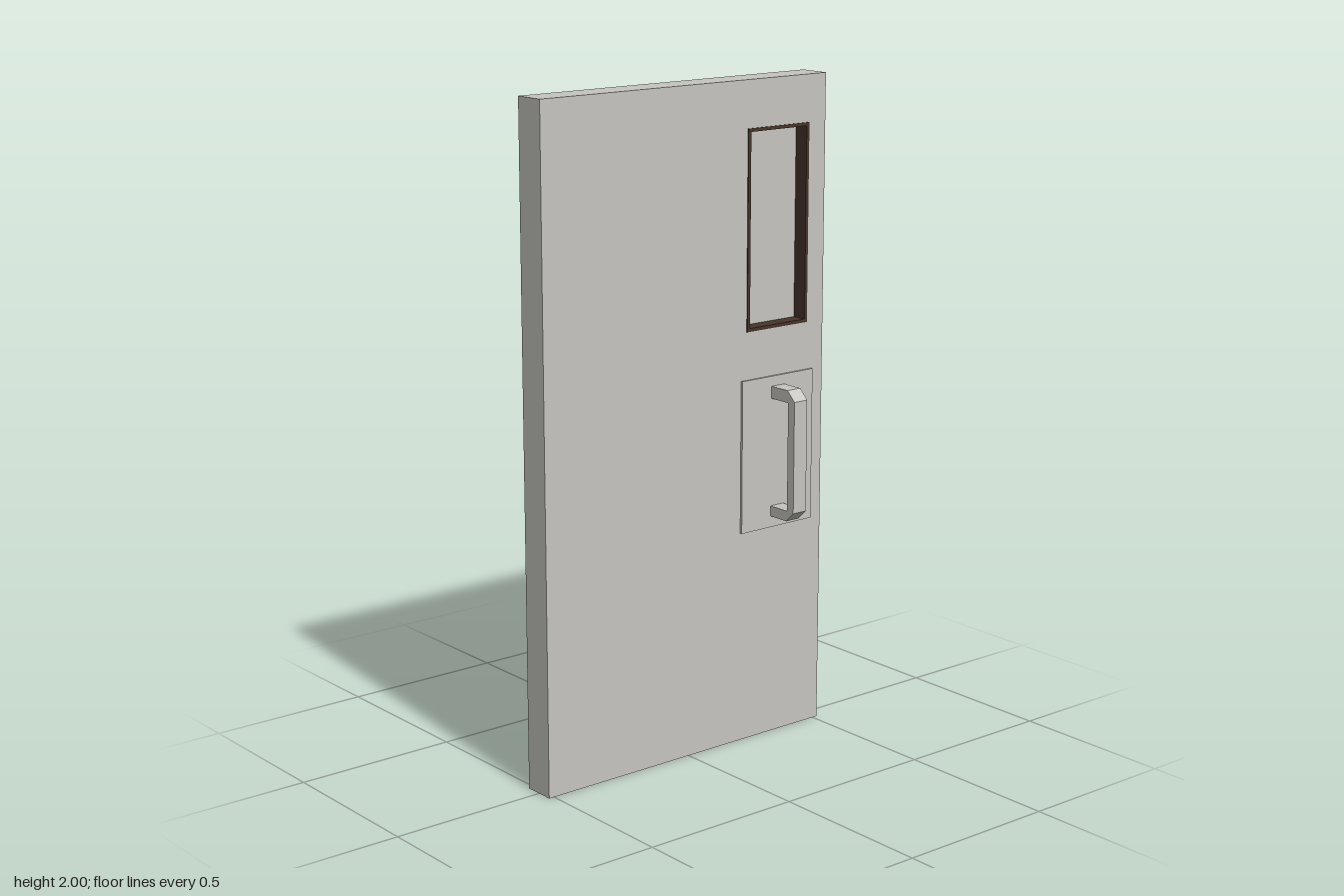
import * as THREE from 'three';

const grey = new THREE.MeshStandardMaterial({ name: 'door grey', color: 0xc6c5c0 });
const brown = new THREE.MeshStandardMaterial({ name: 'dark brown trim', color: 0x46342a });

// Door leaf and window opening; s runs along -z
const DOOR = { s0: -0.517, s1: 0.517, y0: 0, y1: 2, half: 0.049 };
const WIN = { s0: 0.218, s1: 0.452, y0: 1.265, y1: 1.86, half: 0.052 };

function corners(r, inset = 0) {
  const a = r.s0 + inset, b = r.s1 - inset, c = r.y0 + inset, d = r.y1 - inset;
  return [[a, c], [b, c], [b, d], [a, d]].map(p => new THREE.Vector2(...p));
}

// Slab across the door thickness with a rectangular hole
function slab(outer, hole, half) {
  const shape = new THREE.Shape(outer);
  shape.holes.push(new THREE.Path(hole));
  const geo = new THREE.ExtrudeGeometry(shape, { depth: 2 * half, bevelEnabled: false });
  geo.translate(0, 0, -half);
  geo.rotateY(Math.PI / 2);
  return geo;
}

function add(parent, name, geo, mat, x = 0, y = 0, z = 0) {
  const mesh = new THREE.Mesh(geo, mat);
  mesh.name = name;
  mesh.position.set(x, y, z);
  parent.add(mesh);
  return mesh;
}

// Pull handle: bracket outline with chamfered outer corners
function handleGeometry() {
  const pts = [
    [0.05, 0.69], [0.127, 0.69], [0.158, 0.72], [0.158, 1.06], [0.127, 1.09],
    [0.05, 1.09], [0.05, 1.053], [0.13, 1.053], [0.13, 0.722], [0.05, 0.722],
  ].map(p => new THREE.Vector2(...p));
  const geo = new THREE.ExtrudeGeometry(new THREE.Shape(pts), { depth: 0.05, bevelEnabled: false });
  geo.translate(0, 0, -0.025);
  return geo;
}

export function createModel() {
  const group = new THREE.Group();
  group.name = 'door';

  add(group, 'doorLeaf', slab(corners(DOOR), corners(WIN, 0.004), DOOR.half), grey);

  // Window lining and recessed pane
  add(group, 'windowFrame', slab(corners(WIN), corners(WIN, 0.01), WIN.half), brown);
  const midZ = -(WIN.s0 + WIN.s1) / 2, midY = (WIN.y0 + WIN.y1) / 2;
  add(group, 'windowPane',
    new THREE.BoxGeometry(0.01, WIN.y1 - WIN.y0 - 0.01, WIN.s1 - WIN.s0 - 0.01), grey, 0, midY, midZ);

  // Backing plate and handle on both faces
  const handle = handleGeometry();
  const plate = new THREE.BoxGeometry(0.008, 0.465, 0.276);
  for (const side of [1, -1]) {
    const label = side > 0 ? 'left' : 'right';
    add(group, label + 'HandlePlate', plate, grey, side * 0.052, 0.888, -0.336);
    const pull = add(group, label + 'Handle', handle, grey, 0, 0, -0.336);
    if (side < 0) pull.rotation.y = Math.PI;
  }
  return group;
}
